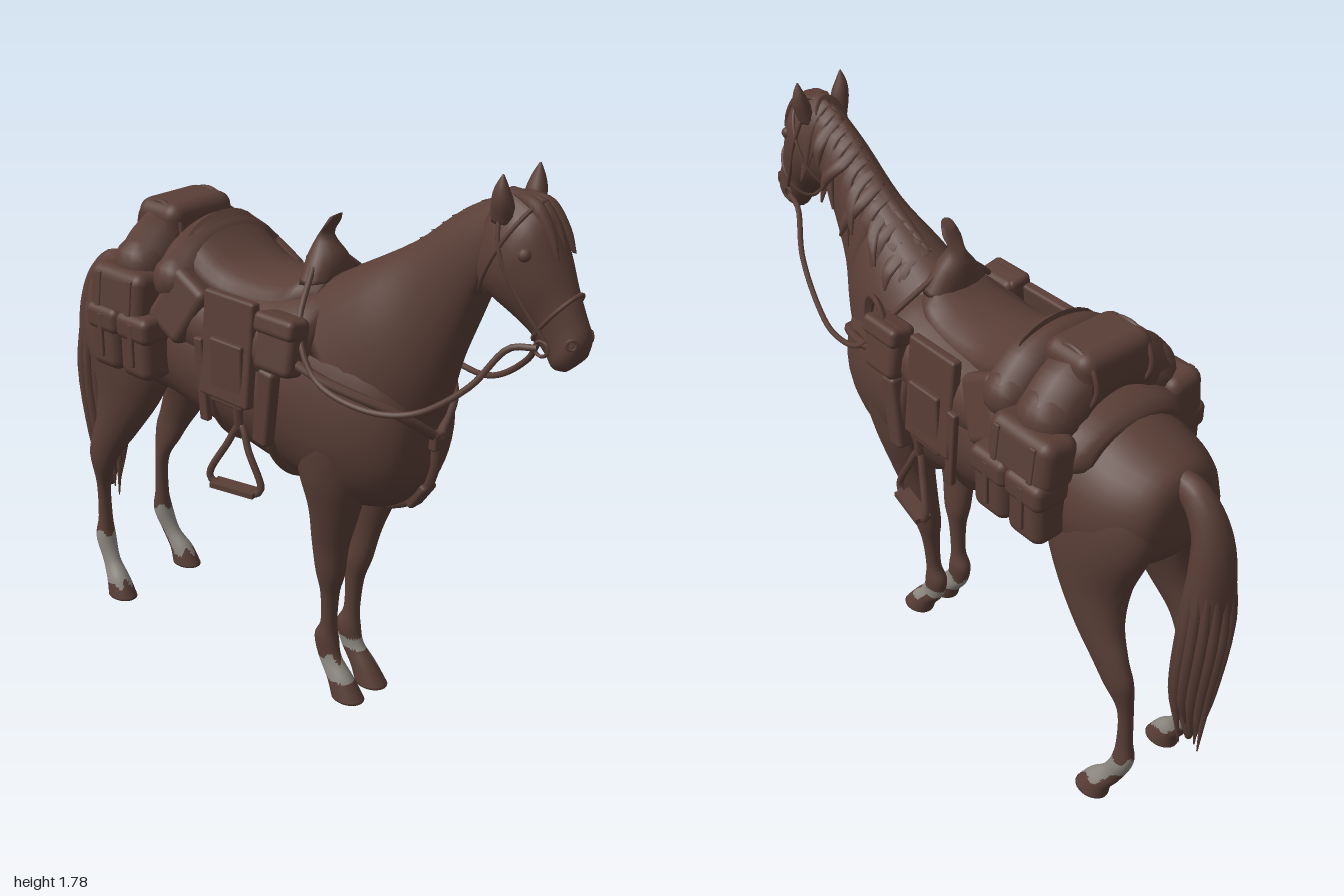
import * as THREE from 'three';
import { RoundedBoxGeometry } from 'three/addons/geometries/RoundedBoxGeometry.js';

const brown = new THREE.MeshStandardMaterial({ color: 0x593e36 });
brown.name = 'dark brown';
const grey = new THREE.MeshStandardMaterial({ color: 0x8c8880 });
grey.name = 'sock grey';

const V = (x, y, z) => new THREE.Vector3(x, y, z);

function catmull(a, b, c, d, t) {
  const m0 = (c - a) / 2, m1 = (d - b) / 2, t2 = t * t, t3 = t2 * t;
  return (2 * t3 - 3 * t2 + 1) * b + (t3 - 2 * t2 + t) * m0 + (3 * t2 - 2 * t3) * c + (t3 - t2) * m1;
}

// Smooth skin over rings. Station: [z1, y1, z2, y2, half width, centre x].
function loft(st, { n = 20, sub = 4, side = 1, paint = null } = {}) {
  const rows = [], at = i => st[Math.max(0, Math.min(st.length - 1, i))];
  for (let i = 0; i < st.length - 1; i++)
    for (let k = 0; k < sub; k++)
      rows.push([0, 1, 2, 3, 4, 5].map(c =>
        catmull(at(i - 1)[c] || 0, at(i)[c] || 0, at(i + 1)[c] || 0, at(i + 2)[c] || 0, k / sub)));
  rows.push(at(st.length - 1));
  const pos = [];
  for (const [z1, y1, z2, y2, w, cx = 0] of rows)
    for (let j = 0; j < n; j++) {
      const a = j / n * Math.PI * 2, c = Math.cos(a) / 2;
      pos.push(side * cx + w * Math.sin(a), (y1 + y2) / 2 + c * (y1 - y2), (z1 + z2) / 2 + c * (z1 - z2));
    }
  const last = rows.length - 1;
  for (const r of [rows[0], rows[last]]) pos.push(side * (r[5] || 0), (r[1] + r[3]) / 2, (r[0] + r[2]) / 2);
  const P = i => V(pos[i * 3], pos[i * 3 + 1], pos[i * 3 + 2]);
  const tris = [], c0 = rows.length * n;
  for (let j = 0; j < n; j++) {
    const k = (j + 1) % n;
    for (let i = 0; i < last; i++) {
      const a = i * n + j, b = i * n + k, c = a + n, d = b + n;
      tris.push([a, c, b], [b, c, d]);
    }
    tris.push([c0, j, k], [c0 + 1, last * n + k, last * n + j]);
  }
  // turn the skin outwards
  let vol = 0;
  for (const [a, b, c] of tris) vol += P(a).dot(P(b).cross(P(c)));
  const sets = [[], []];
  for (const [a, b, c] of tris) {
    const mid = P(a).add(P(b)).add(P(c)).divideScalar(3);
    sets[paint && paint(mid) ? 1 : 0].push(...(vol > 0 ? [a, b, c] : [a, c, b]));
  }
  const g = new THREE.BufferGeometry();
  g.setAttribute('position', new THREE.Float32BufferAttribute(pos, 3));
  g.setIndex([...sets[0], ...sets[1]]);
  g.addGroup(0, sets[0].length, 0);
  g.addGroup(sets[0].length, sets[1].length, 1);
  g.computeVertexNormals();
  return g;
}

// Sock patches: a band at the fetlock, and a ragged strip down the front or outside
const hindSock = s => p => {
  const front = p.z > -0.76 + (0.12 - p.y) * 0.73, top = 0.22 + 0.012 * Math.sin(p.x * 90 + p.z * 60);
  if (p.y > top || p.y < 0.06 + 0.015 * Math.sin(p.x * 150)) return false;
  return p.y > 0.155 || front || (s < 0 && p.x < -0.14);
};
const frontSock = s => p => {
  const front = p.z > 0.207 + (0.125 - p.y) * 0.76;
  if (s < 0) return p.y > 0.065 && p.y < 0.13 + 0.015 * Math.sin(p.x * 130 + p.z * 50);
  return p.y < 0.15 && (p.y > 0.115 || (p.y > 0.065 && front && p.x > 0.07));
};

export function createModel() {
  const horse = new THREE.Group();
  horse.name = 'saddledHorse';
  const add = (name, geo, mat = brown) => {
    const m = new THREE.Mesh(geo, mat);
    m.name = name;
    horse.add(m);
    return m;
  };
  const skin = (name, st, o = {}) => add(name, loft(st, o), o.paint ? [brown, grey] : brown);
  const strap = (name, pts, r = 0.01, closed = false) =>
    add(name, new THREE.TubeGeometry(new THREE.CatmullRomCurve3(pts.map(p => V(...p)), closed), pts.length * 6, r, 7, closed));
  const bag = (name, x, y, z, sx, sy, sz, rx = 0, rz = 0) => {
    const m = add(name, new RoundedBoxGeometry(sx, sy, sz, 3, Math.min(sx, sy, sz) * 0.3));
    m.position.set(x, y, z);
    m.rotation.set(rx, 0, rz);
  };
  // strap lying round a ring station
  const band = (name, [z1, y1, z2, y2, w], r, grow = 1.03) => strap(name, Array.from({ length: 16 }, (_, i) => {
    const a = i / 8 * Math.PI, c = Math.cos(a) / 2 * grow;
    return [w * grow * Math.sin(a), (y1 + y2) / 2 + c * (y1 - y2), (z1 + z2) / 2 + c * (z1 - z2)];
  }), r, true);

  // Torso, neck and head
  skin('body', [
    [-0.82, 1.15, -0.82, 1.03, 0.06], [-0.795, 1.22, -0.795, 0.94, 0.145], [-0.7, 1.26, -0.7, 0.86, 0.205],
    [-0.58, 1.29, -0.58, 0.81, 0.225], [-0.42, 1.3, -0.42, 0.84, 0.23], [-0.2, 1.28, -0.2, 0.8, 0.235],
    [0, 1.28, 0, 0.755, 0.232], [0.17, 1.31, 0.17, 0.72, 0.222], [0.33, 1.32, 0.33, 0.7, 0.21],
    [0.44, 1.28, 0.44, 0.74, 0.18], [0.51, 1.18, 0.51, 0.81, 0.13], [0.54, 1.1, 0.54, 0.89, 0.05]], { n: 32 });
  skin('neck', [
    [0.74, 1.72, 0.69, 1.44, 0.07], [0.6, 1.645, 0.655, 1.34, 0.076], [0.44, 1.52, 0.605, 1.21, 0.098],
    [0.28, 1.43, 0.56, 1.07, 0.15], [0.1, 1.33, 0.5, 0.9, 0.19]], { n: 28 });
  skin('head', [
    [0.74, 1.735, 0.67, 1.57, 0.055], [0.8, 1.725, 0.675, 1.47, 0.086], [0.865, 1.69, 0.73, 1.44, 0.098],
    [0.91, 1.6, 0.79, 1.41, 0.084], [0.945, 1.52, 0.84, 1.375, 0.062], [0.975, 1.455, 0.885, 1.33, 0.053],
    [0.998, 1.4, 0.91, 1.3, 0.052], [0.99, 1.35, 0.945, 1.3, 0.035]], { n: 24 });

  for (const s of [-1, 1]) {
    const side = s > 0 ? 'left' : 'right';
    // Legs with ragged grey socks
    skin(side + 'HindLeg', [
      [-0.5, 1.17, -0.74, 1.18, 0.045, 0.12], [-0.45, 1.05, -0.79, 1.1, 0.085, 0.125], [-0.44, 0.92, -0.805, 1.0, 0.1, 0.122],
      [-0.49, 0.8, -0.75, 0.83, 0.082, 0.132], [-0.58, 0.67, -0.75, 0.71, 0.058, 0.148], [-0.66, 0.57, -0.785, 0.61, 0.04, 0.155],
      [-0.705, 0.5, -0.81, 0.53, 0.034, 0.15], [-0.755, 0.41, -0.805, 0.41, 0.024, 0.135], [-0.76, 0.28, -0.81, 0.28, 0.024, 0.132],
      [-0.75, 0.2, -0.82, 0.2, 0.034, 0.135], [-0.72, 0.13, -0.785, 0.11, 0.027, 0.142], [-0.67, 0.075, -0.755, 0.055, 0.036, 0.15],
      [-0.63, 0.008, -0.745, 0.008, 0.044, 0.153]], { side: s, sub: 7, n: 28, paint: hindSock(s) });
    skin(side + 'FrontLeg', [
      [0.43, 1.12, 0.2, 1.12, 0.06, 0.12], [0.43, 0.97, 0.14, 0.97, 0.088, 0.118], [0.385, 0.82, 0.14, 0.82, 0.084, 0.108],
      [0.335, 0.68, 0.165, 0.68, 0.064, 0.092], [0.29, 0.55, 0.16, 0.55, 0.045, 0.077], [0.265, 0.44, 0.165, 0.44, 0.04, 0.064],
      [0.24, 0.36, 0.178, 0.36, 0.029, 0.058], [0.23, 0.25, 0.175, 0.25, 0.024, 0.054], [0.235, 0.19, 0.15, 0.19, 0.032, 0.052],
      [0.25, 0.13, 0.165, 0.12, 0.028, 0.053], [0.295, 0.075, 0.21, 0.055, 0.037, 0.055], [0.345, 0.008, 0.23, 0.008, 0.045, 0.056]],
    { side: s, sub: 7, n: 28, paint: frontSock(s) });

    // Ears, eyes, nostrils
    skin(side + 'Ear', [[0.79, 1.66, 0.73, 1.66, 0.022, 0.06], [0.795, 1.71, 0.735, 1.71, 0.027, 0.07],
      [0.785, 1.75, 0.745, 1.75, 0.017, 0.077], [0.77, 1.785, 0.765, 1.785, 0.002, 0.078]], { side: s, n: 10 });
    const eye = add(side + 'Eye', new THREE.SphereGeometry(0.018, 12, 8));
    eye.position.set(s * 0.079, 1.6, 0.845);
    const nostril = add(side + 'Nostril', new THREE.TorusGeometry(0.013, 0.005, 6, 12));
    nostril.position.set(s * 0.042, 1.39, 0.975);
    nostril.rotation.y = s * 0.9;

    // Bridle cheek straps, bit rings and reins
    strap(side + 'CheekStrap', [[s * 0.06, 1.72, 0.75], [s * 0.096, 1.6, 0.78], [s * 0.085, 1.5, 0.83], [s * 0.056, 1.38, 0.91]], 0.006);
    const bit = add(side + 'BitRing', new THREE.TorusGeometry(0.02, 0.005, 6, 16));
    bit.position.set(s * 0.06, 1.365, 0.9);
    bit.rotation.y = Math.PI / 2;
    strap(side + 'Rein', [[s * 0.062, 1.365, 0.89], [s * 0.08, 1.35, 0.82], [s * 0.13, 1.235, 0.74], [s * 0.175, 1.13, 0.6],
      [s * 0.215, 1.11, 0.46], [s * 0.232, 1.155, 0.3], [s * 0.2, 1.27, 0.21], [s * 0.07, 1.4, 0.14]], 0.009);

    // Breast collar
    strap(side + 'BreastStrap', [[s * 0.235, 1.2, 0.16], [s * 0.215, 1.15, 0.32], [s * 0.125, 1.08, 0.505], [0, 0.98, 0.555]], 0.015);

    // Front pouches, fender and stirrup
    bag(side + 'FrontPouch', s * 0.222, 1.22, 0.165, 0.08, 0.17, 0.14, 0, s * 0.2);
    bag(side + 'FrontPouchFlap', s * 0.226, 1.275, 0.165, 0.08, 0.06, 0.15, 0, s * 0.2);
    bag(side + 'Holster', s * 0.24, 1.02, 0.12, 0.045, 0.24, 0.06, 0.12);
    bag(side + 'SaddleFlap', s * 0.228, 1.15, -0.04, 0.035, 0.32, 0.2, 0, s * 0.1);
    bag(side + 'Fender', s * 0.245, 1.08, -0.03, 0.025, 0.2, 0.13);
    bag(side + 'RearStrap', s * 0.242, 1.03, -0.14, 0.022, 0.26, 0.035, -0.08);
    strap(side + 'StirrupLeather', [[s * 0.247, 1.02, 0.01], [s * 0.245, 0.96, 0.01], [s * 0.242, 0.92, 0.01]], 0.014);
    strap(side + 'Stirrup', [[s * 0.24, 0.93, 0.015], [s * 0.25, 0.86, 0.055], [s * 0.25, 0.755, 0.105], [s * 0.255, 0.735, 0.09],
      [s * 0.285, 0.735, -0.05], [s * 0.29, 0.755, -0.07], [s * 0.26, 0.86, -0.025]], 0.011, true);
    const tread = add(side + 'StirrupTread', new THREE.BoxGeometry(0.05, 0.016, 0.15));
    tread.position.set(s * 0.27, 0.735, 0.018);
    tread.rotation.y = -s * 0.22;

    // Rear saddlebags
    bag(side + 'UpperBag', s * 0.238, 1.22, -0.47, 0.125, 0.16, 0.24, 0, s * 0.12);
    bag(side + 'BlanketEnd', s * 0.2, 1.22, -0.26, 0.09, 0.2, 0.15, 0.5, s * 0.25);
    for (const z of [-0.375, -0.515]) {
      bag(side + 'LowerPouch', s * 0.255, 1.075, z, 0.115, 0.2, 0.135);
      bag(side + 'PouchFlap', s * 0.26, 1.14, z, 0.12, 0.085, 0.145);
      bag(side + 'PouchStrap', s * 0.314, 1.09, z, 0.014, 0.14, 0.022);
      bag(side + 'UpperBagStrap', s * 0.298, 1.22, z - 0.02, 0.014, 0.13, 0.022, 0, s * 0.12);
    }
  }

  // Mane ridge, with locks falling on the left of the neck
  skin('maneCrest', [[0.77, 1.735, 0.72, 1.69, 0.02], [0.61, 1.655, 0.58, 1.6, 0.024],
    [0.45, 1.53, 0.42, 1.47, 0.026], [0.25, 1.415, 0.24, 1.36, 0.02]], { n: 10 });
  const crest = new THREE.CatmullRomCurve3([V(0, 1.725, 0.73), V(0, 1.64, 0.59), V(0, 1.515, 0.43), V(0, 1.42, 0.26)]);
  for (let i = 0; i < 15; i++) {
    const { y, z } = crest.getPoint(i / 14), f = 1 + i * 0.04, w = 0.011 + 0.004 * Math.sin(i * 4.1);
    const len = 0.19 + 0.06 * Math.sin(i * 2.3), lean = 0.03 * Math.sin(i * 1.7);
    skin('maneLock', [
      [z + 0.02, y + 0.004, z - 0.02, y - 0.01, w, 0.005],
      [z + 0.03, y - 0.035, z - 0.02, y - 0.05, w, 0.05 * f],
      [z + 0.03 + lean, y - len * 0.6, z - 0.012 + lean, y - len * 0.65, w, 0.077 * f],
      [z + 0.01 + lean * 2, y - len, z + lean * 2, y - len, 0.003, 0.09 * f]], { n: 8, sub: 3 });
  }

  // Forelock
  for (const x of [-0.02, 0.005, 0.03])
    skin('forelock', [[0.79, 1.73, 0.75, 1.725, 0.02, x * 0.5], [0.845, 1.715, 0.82, 1.69, 0.022, x],
      [0.893, 1.65, 0.87, 1.64, 0.014, x * 1.3], [0.913, 1.59, 0.9, 1.59, 0.003, x * 1.5]], { n: 8 });

  // Bridle bands, girths and belly strap
  band('noseband', [0.955, 1.5, 0.85, 1.365, 0.058], 0.006, 1.05);
  band('browband', [0.835, 1.712, 0.69, 1.45, 0.094], 0.006, 1.02);
  band('girth', [0.1, 1.3, 0.1, 0.735, 0.226], 0.018, 1.01);
  band('rearGirth', [-0.12, 1.28, -0.12, 0.78, 0.233], 0.012, 1.01);
  strap('chestStrap', [[0, 0.99, 0.55], [0, 0.88, 0.54], [0, 0.79, 0.5], [0, 0.715, 0.38], [0, 0.715, 0.17],
    [0, 0.735, 0], [0, 0.765, -0.13]], 0.017);
  bag('chestBuckle', 0, 0.975, 0.55, 0.055, 0.055, 0.03);
  bag('chestPouch', 0, 0.79, 0.495, 0.06, 0.1, 0.04, 0.6);

  // Saddle
  skin('saddlePad', [[0.23, 1.31, 0.23, 1.08, 0.17], [0.18, 1.345, 0.18, 1.02, 0.228], [-0.05, 1.32, -0.05, 1, 0.236],
    [-0.3, 1.33, -0.3, 1.02, 0.236], [-0.56, 1.32, -0.56, 1.1, 0.21], [-0.62, 1.28, -0.62, 1.14, 0.16]], { n: 28 });
  skin('seat', [[0.18, 1.37, 0.18, 1.24, 0.09], [0.12, 1.385, 0.12, 1.22, 0.13], [0.04, 1.35, 0.04, 1.2, 0.15],
    [-0.12, 1.345, -0.12, 1.2, 0.16], [-0.22, 1.39, -0.22, 1.22, 0.17], [-0.3, 1.46, -0.3, 1.25, 0.16]], { n: 24 });
  skin('pommelHorn', [[0.19, 1.36, 0.08, 1.35, 0.11], [0.185, 1.42, 0.08, 1.42, 0.065], [0.15, 1.48, 0.095, 1.46, 0.028],
    [0.17, 1.53, 0.12, 1.49, 0.03], [0.178, 1.55, 0.145, 1.53, 0.02]], { n: 14 });

  // Bedrolls arched over the back, with tie straps
  const roll = (name, z, y, r, half) => {
    const pts = [[-half, y - 0.09, z], [-half * 0.6, y - 0.025, z], [0, y, z], [half * 0.6, y - 0.025, z], [half, y - 0.09, z]];
    strap(name, pts, r);
    for (const p of [pts[0], pts[4]]) add(name + 'End', new THREE.SphereGeometry(r, 14, 10)).position.set(...p);
  };
  roll('rearBedroll', -0.465, 1.385, 0.09, 0.175);
  roll('frontBedroll', -0.31, 1.375, 0.075, 0.175);
  bag('packTop', 0, 1.405, -0.46, 0.26, 0.145, 0.18);
  for (const x of [-0.1, 0.1])
    strap('bedrollTie', Array.from({ length: 12 }, (_, i) => {
      const a = i / 6 * Math.PI;
      return [x, 1.385 + 0.09 * Math.sin(a), -0.465 + 0.096 * Math.cos(a)];
    }), 0.008, true);

  // Coiled rope on the left shoulder
  for (let i = 0; i < 3; i++) {
    const rope = add('ropeCoil', new THREE.TorusGeometry(0.075 + i * 0.007, 0.008, 6, 28));
    rope.position.set(0.2 + i * 0.006, 1.23, 0.24);
    rope.rotation.set(0, Math.PI / 2 - 0.3, 0);
    rope.scale.y = 1.2;
  }

  // Tail: a thick fall of hair with loose strands
  skin('tail', [[-0.76, 1.22, -0.78, 1.13, 0.035], [-0.85, 1.21, -0.82, 1.12, 0.042], [-0.93, 1.13, -0.855, 1.06, 0.055],
    [-0.975, 1.0, -0.86, 0.97, 0.07], [-0.985, 0.8, -0.855, 0.8, 0.076], [-0.965, 0.6, -0.845, 0.6, 0.064],
    [-0.95, 0.43, -0.865, 0.43, 0.04], [-0.92, 0.31, -0.9, 0.31, 0.01]], { n: 18 });
  for (let i = 0; i < 14; i++) {
    const a = i / 14 * Math.PI * 2, x = Math.sin(a), z = Math.cos(a), e = 0.28 + 0.13 * (i * 5 % 7) / 7;
    skin('tailStrand', [[-0.9 + z * 0.04, 1.0, -0.93 + z * 0.04, 1.0, 0.012, x * 0.052],
      [-0.905 + z * 0.058, 0.78, -0.94 + z * 0.058, 0.78, 0.017, x * 0.072],
      [-0.89 + z * 0.055, 0.52, -0.92 + z * 0.055, 0.52, 0.015, x * 0.06],
      [-0.905 + z * 0.04, e, -0.91 + z * 0.04, e, 0.002, x * 0.03]], { n: 6 });
  }
  return horse;
}
